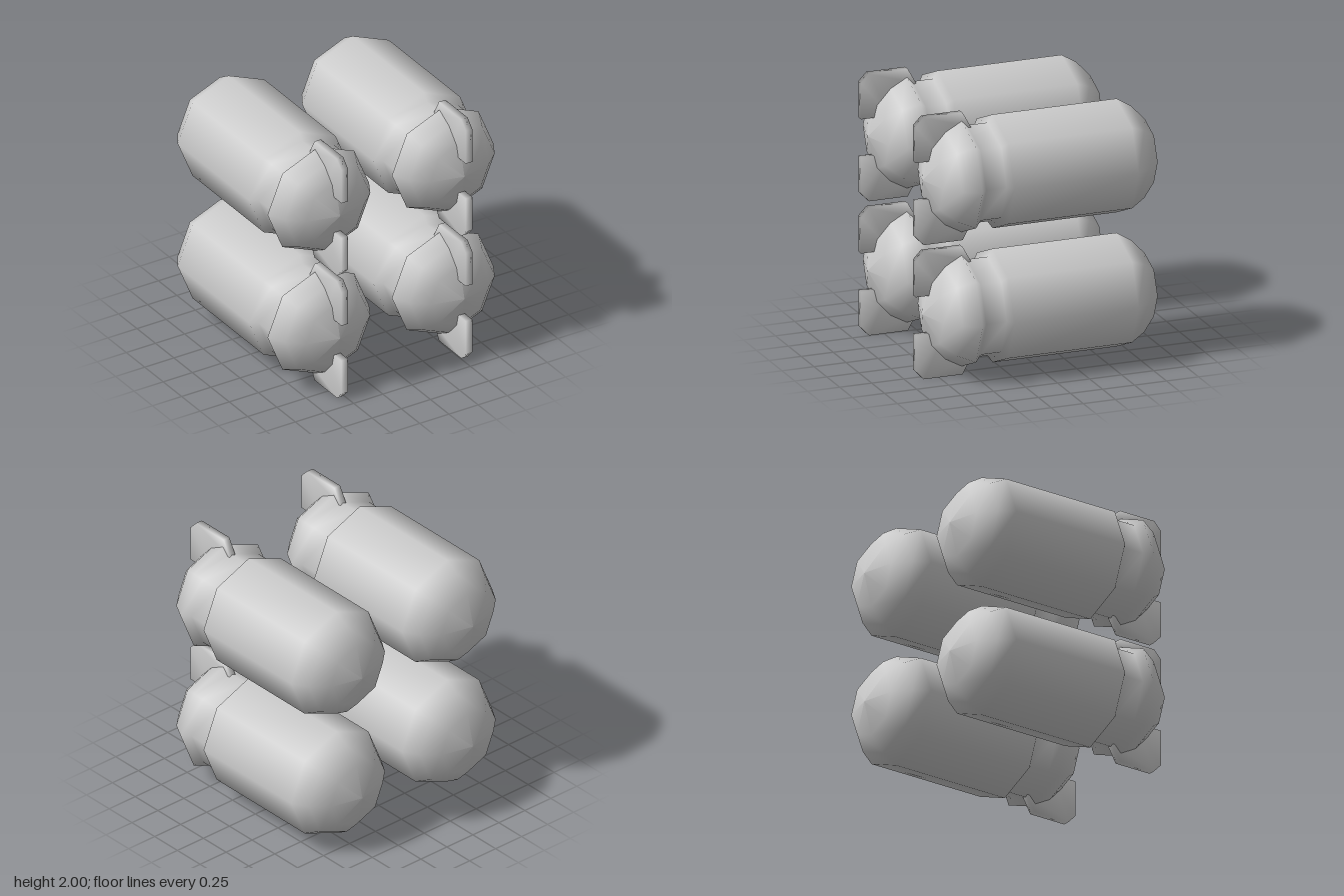
import * as THREE from 'three';
import { mergeVertices } from 'three/addons/utils/BufferGeometryUtils.js';

const material = new THREE.MeshStandardMaterial({ color: 0xcccccc });

// Eight-sided capsule with a waist behind its nose, lying along z
function bodyGeometry() {
  const profile = [
    [0, -0.93], [0.25, -0.868], [0.365, -0.76], [0.435, -0.645],
    [0.435, 0.32], [0.378, 0.36], [0.378, 0.52], [0.435, 0.572],
    [0.365, 0.7], [0.25, 0.805], [0, 0.868],
  ].map(([r, z]) => new THREE.Vector2(r, z));
  return new THREE.LatheGeometry(profile, 8).rotateX(Math.PI / 2);
}

// Thin plate with clipped corners, standing on the nose in the yz plane
function finGeometry() {
  const outline = [
    [0.93, 0.147], [0.93, 0.422], [0.868, 0.487], [0.565, 0.487],
    [0.5, 0.37], [0.56, 0.3], [0.7, 0.147],
  ].map(([z, y]) => new THREE.Vector2(-z, y));
  const depth = 0.055;
  const geometry = new THREE.ExtrudeGeometry(new THREE.Shape(outline), { depth, bevelEnabled: false });
  geometry.translate(0, 0, -depth / 2).rotateY(Math.PI / 2);
  // Weld the corners so the plate shades softly
  geometry.deleteAttribute('normal');
  geometry.deleteAttribute('uv');
  const welded = mergeVertices(geometry);
  welded.computeVertexNormals();
  return welded;
}

export function createModel() {
  const model = new THREE.Group();
  model.name = 'capsuleCluster';
  const body = bodyGeometry();
  const fin = finGeometry();

  // Two by two stack of identical capsules
  for (const [row, y] of [['lower', 0.487], ['upper', 1.513]]) {
    for (const [side, x] of [['Left', 0.533], ['Right', -0.533]]) {
      const capsule = new THREE.Group();
      capsule.name = `${row}${side}Capsule`;
      capsule.position.set(x, y, 0);

      const shell = new THREE.Mesh(body, material);
      shell.name = 'body';
      capsule.add(shell);

      // Fins above and below the nose
      for (const [name, turn] of [['topFin', 0], ['bottomFin', Math.PI]]) {
        const plate = new THREE.Mesh(fin, material);
        plate.name = name;
        plate.rotation.z = turn;
        capsule.add(plate);
      }
      model.add(capsule);
    }
  }
  return model;
}
